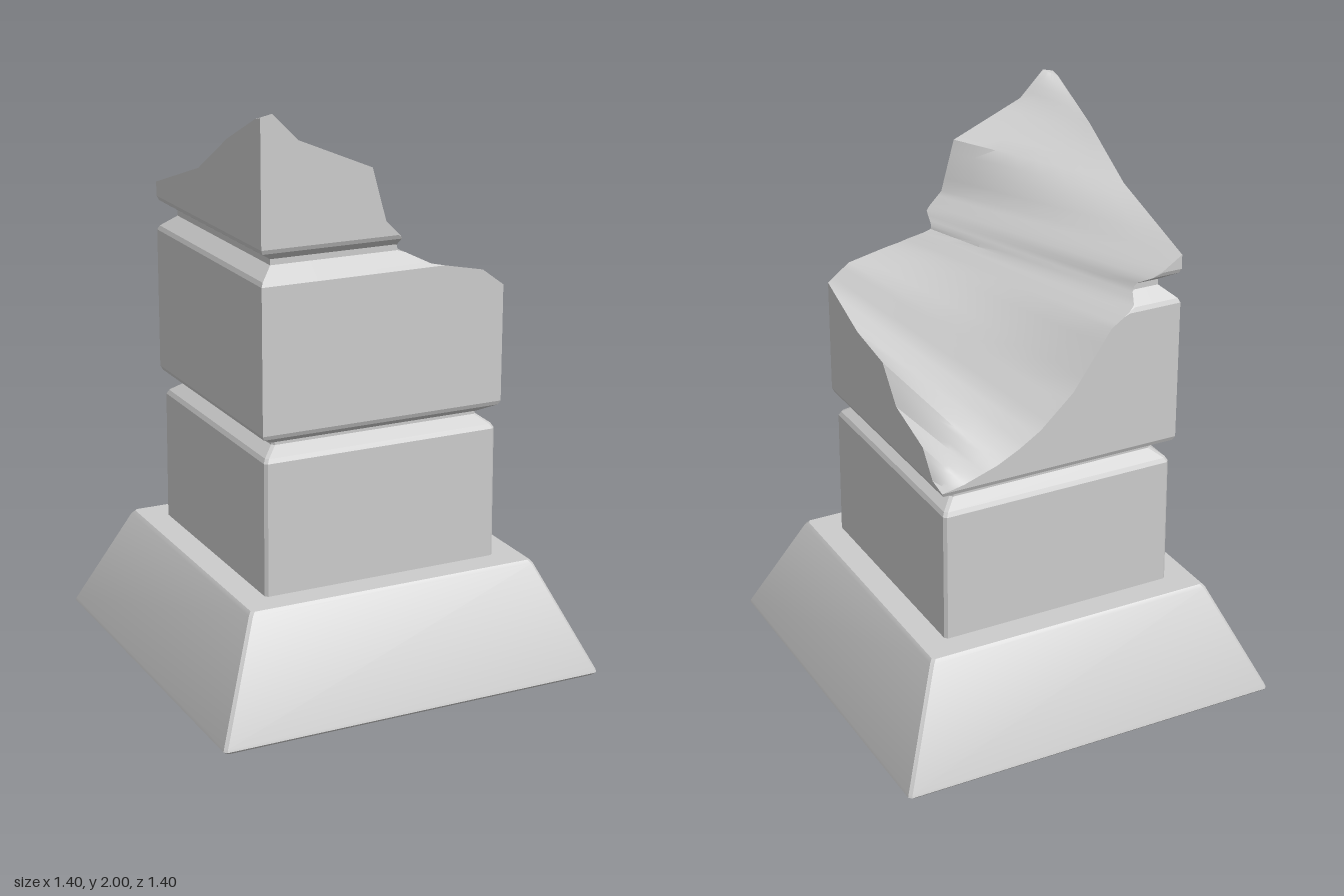
import * as THREE from 'three';
import { toCreasedNormals } from 'three/addons/utils/BufferGeometryUtils.js';

const material = new THREE.MeshStandardMaterial({ color: 0xcccccc, side: THREE.DoubleSide });

// Skin a grid of points (rows of equal length), skipping collapsed triangles.
function skin(name, rows, crease) {
  const pos = [];
  const tri = (a, b, c) => {
    const n = b.clone().sub(a).cross(c.clone().sub(a));
    if (n.length() > 1e-9) for (const p of [a, b, c]) pos.push(p.x, p.y, p.z);
  };
  for (let r = 0; r < rows.length - 1; r++) {
    for (let c = 0; c < rows[r].length - 1; c++) {
      tri(rows[r][c], rows[r][c + 1], rows[r + 1][c + 1]);
      tri(rows[r][c], rows[r + 1][c + 1], rows[r + 1][c]);
    }
  }
  const geo = new THREE.BufferGeometry();
  geo.setAttribute('position', new THREE.Float32BufferAttribute(pos, 3));
  const mesh = new THREE.Mesh(toCreasedNormals(geo, crease), material);
  mesh.name = name;
  return mesh;
}

// Closed square ring with slightly bevelled corners.
function squareRing(half, y) {
  const k = half - 0.01, ring = [];
  const corners = [[-k, half], [k, half], [half, k], [half, -k], [k, -half], [-k, -half], [-half, -k], [-half, k]];
  for (const [x, z] of [...corners, corners[0]]) ring.push(new THREE.Vector3(x, y, z));
  return ring;
}

// Upper block profile: [half width, y], with one groove.
const upper = [[0.38, 0.91], [0.433, 0.94], [0.44, 0.955], [0.44, 1.45], [0.433, 1.465],
  [0.385, 1.505], [0.385, 1.525], [0.433, 1.555], [0.44, 1.57], [0.44, 2.01]];

function halfAt(y) {
  for (let i = 1; i < upper.length; i++) {
    const [h0, y0] = upper[i - 1], [h1, y1] = upper[i];
    if (y <= y1) return THREE.MathUtils.mapLinear(y, y0, y1, h0, h1);
  }
  return 0.44;
}

// Put a perimeter point onto the block's wall at height y.
function onWall(p, y) {
  const h = halfAt(y);
  return new THREE.Vector3(THREE.MathUtils.clamp(p.x, -h, h), y, THREE.MathUtils.clamp(p.z, -h, h));
}

// Fracture ridges: [x, y, z] on the left/back rim, then [x, y, z] on the front/right rim.
const E = 0.44;
const ridges = [
  [-E, 1.99, E, -E, 1.99, E],
  [-E, 1.98, 0.40, -0.40, 2.0, E],
  [-E, 1.88, 0.18, -0.31, 1.91, E],
  [-E, 1.74, -0.06, -0.05, 1.80, E],
  [-E, 1.62, -E, 0.0, 1.62, E],
  [-0.30, 1.53, -E, 0.06, 1.56, E],
  [-0.27, 1.47, -E, 0.07, 1.51, E],
  [-0.18, 1.41, -E, 0.17, 1.46, E],
  [-0.04, 1.21, -E, 0.36, 1.42, E],
  [0.08, 1.10, -E, E, 1.36, E],
  [0.16, 1.05, -E, E, 1.27, 0.20],
  [0.24, 1.01, -E, E, 1.24, 0.0],
  [0.30, 0.99, -E, E, 1.12, -0.10],
  [0.36, 0.97, -E, E, 1.06, -0.30],
  [0.41, 0.96, -E, E, 0.97, -0.37],
  [E, 0.955, -E, E, 0.955, -E],
];

// Subdivide one rim of the fracture.
function rim(offset) {
  const steps = 4, out = [];
  const pts = ridges.map((r) => new THREE.Vector3(r[offset], r[offset + 1], r[offset + 2]));
  for (let i = 0; i < pts.length - 1; i++) {
    for (let s = 0; s < steps; s++) out.push(pts[i].clone().lerp(pts[i + 1], s / steps));
  }
  out.push(pts[pts.length - 1]);
  return out;
}

export function createModel() {
  const group = new THREE.Group();
  group.name = 'brokenPillar';

  // Hollow flared base
  const base = [[0.69, 0], [0.70, 0.01], [0.697, 0.02], [0.533, 0.383], [0.522, 0.395], [0.43, 0.395]];
  group.add(skin('base', base.map(([h, y]) => squareRing(h, y)), 0.35));

  // Square shaft with a chamfered neck
  const shaft = [[0.43, 0.395], [0.428, 0.855], [0.42, 0.87], [0.38, 0.90], [0.38, 0.91]];
  group.add(skin('shaft', shaft.map(([h, y]) => squareRing(h, y)), 0.35));

  // Upper block walls, cut off along the fracture rim
  const back = rim(0), front = rim(3);
  const loop = [...front, ...back.slice(0, -1).reverse()];
  const walls = upper.map(([, y]) => loop.map((p) => onWall(p, Math.min(y, p.y))));
  group.add(skin('upperBlock', walls, 0.35));

  // Broken top, ruled between the two rims
  const top = back.map((p, i) => {
    const a = onWall(p, p.y), b = onWall(front[i], front[i].y);
    return Array.from({ length: 9 }, (_, t) => a.clone().lerp(b, t / 8));
  });
  group.add(skin('fractureSurface', top, 0.6));

  return group;
}
